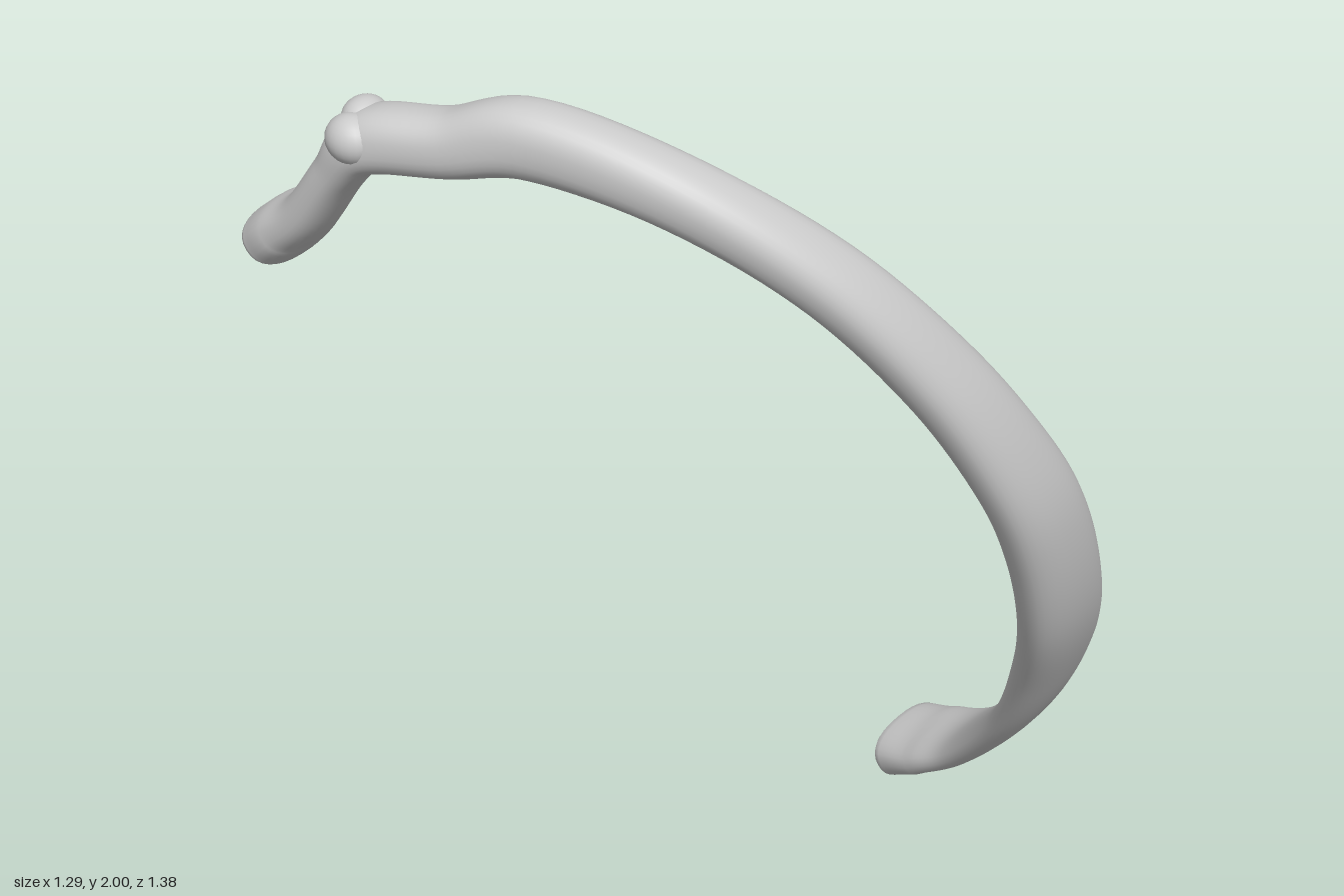
import * as THREE from 'three';

// Stations along the rib: centre x, y, z, half width (front-back), half thickness, groove depth, twist
const STATIONS = [
  [-0.035, 0.058, -0.595, 0.097, 0.056, 0, 0.1],
  [0.05, 0.105, -0.57, 0.1, 0.042, 0, 0.1],
  [0.17, 0.19, -0.535, 0.103, 0.032, 0, 0],
  [0.345, 0.41, -0.423, 0.106, 0.036, 0, 0],
  [0.465, 0.64, -0.31, 0.107, 0.047, 0, 0],
  [0.55, 0.86, -0.185, 0.104, 0.052, 0, 0],
  [0.582, 1.08, -0.075, 0.1, 0.056, 0, 0],
  [0.57, 1.27, 0.03, 0.092, 0.056, 0, 0],
  [0.5, 1.495, 0.163, 0.082, 0.056, 0.1, 0],
  [0.37, 1.71, 0.31, 0.073, 0.057, 0.2, 0],
  [0.17, 1.865, 0.445, 0.065, 0.061, 0.3, 0],
  [-0.07, 1.931, 0.53, 0.062, 0.069, 0.4, 0],
  [-0.22, 1.9, 0.575, 0.06, 0.06, 0.3, 0],
  [-0.36, 1.88, 0.612, 0.062, 0.058, 0.1, 0],
  [-0.43, 1.807, 0.612, 0.062, 0.042, 0.1, 0],
  [-0.51, 1.7, 0.605, 0.066, 0.042, 0.15, 0],
  [-0.57, 1.648, 0.588, 0.083, 0.052, 0.05, 0],
  [-0.608, 1.615, 0.575, 0.088, 0.054, 0, 0],
];

const smoothCurve = (col) => new THREE.CatmullRomCurve3(
  STATIONS.map((s) => new THREE.Vector3(s[col], s[col + 1], s[col + 2])), false, 'catmullrom', 0.5);

function ribGeometry(steps = 136, sides = 32) {
  const path = smoothCurve(0);
  const size = smoothCurve(3);
  const last = STATIONS.length - 1;

  // Each ring: position on the path, scale, push along the path; the extra rings round off the ends
  const rings = [];
  for (let i = 0; i <= steps; i++) rings.push([i / steps, 1, 0]);
  for (const [scale, push] of [[0.93, 0.008], [0.8, 0.012], [0.4, 0.014], [0.001, 0.014]]) {
    rings.unshift([0, scale, -push]);
    rings.push([1, scale, push * 1.5]);
  }

  const round = (v) => Math.sign(v) * Math.abs(v) ** 0.85;
  const positions = [];
  const index = [];
  rings.forEach(([t, scale, push], i) => {
    const along = path.getTangent(t);
    const centre = path.getPoint(t).addScaledVector(along, push);
    const wide = new THREE.Vector3(0, 0, 1).projectOnPlane(along).normalize();
    const k = Math.min(Math.floor(t * last), last - 1);
    const twist = THREE.MathUtils.lerp(STATIONS[k][6], STATIONS[k + 1][6], t * last - k);
    wide.applyAxisAngle(along, twist);
    const thin = new THREE.Vector3().crossVectors(along, wide);
    const { x: halfWidth, y: halfThick, z: groove } = size.getPoint(t);
    for (let j = 0; j < sides; j++) {
      const a = (j / sides) * Math.PI * 2;
      // The rear edge is hollowed into a shallow groove
      const hollow = 1 - groove * Math.max(0, -Math.cos(a)) ** 4;
      const p = centre.clone()
        .addScaledVector(wide, round(Math.cos(a)) * halfWidth * scale * hollow)
        .addScaledVector(thin, round(Math.sin(a)) * halfThick * scale);
      positions.push(p.x, p.y, p.z);
      if (i < rings.length - 1) {
        const n = (j + 1) % sides;
        const r = i * sides;
        index.push(r + j, r + n, r + sides + j, r + n, r + sides + n, r + sides + j);
      }
    }
  });
  const geometry = new THREE.BufferGeometry();
  geometry.setAttribute('position', new THREE.Float32BufferAttribute(positions, 3));
  geometry.setIndex(index);
  geometry.computeVertexNormals();
  return geometry;
}

export function createModel() {
  const model = new THREE.Group();
  model.name = 'rib';
  const bone = new THREE.MeshStandardMaterial({ color: 0xcccccc });

  const shaft = new THREE.Mesh(ribGeometry(), bone);
  shaft.name = 'ribShaft';
  model.add(shaft);

  // Knobs where the neck meets the shaft
  const knobs = [
    ['frontTubercle', [-0.375, 1.89, 0.645], [0.05, 0.045, 0.045]],
    ['upperTubercle', [-0.385, 1.912, 0.6], [0.038, 0.035, 0.045]],
  ];
  for (const [name, position, scale] of knobs) {
    const knob = new THREE.Mesh(new THREE.SphereGeometry(1, 24, 16), bone);
    knob.name = name;
    knob.position.set(...position);
    knob.scale.set(...scale);
    model.add(knob);
  }
  return model;
}
